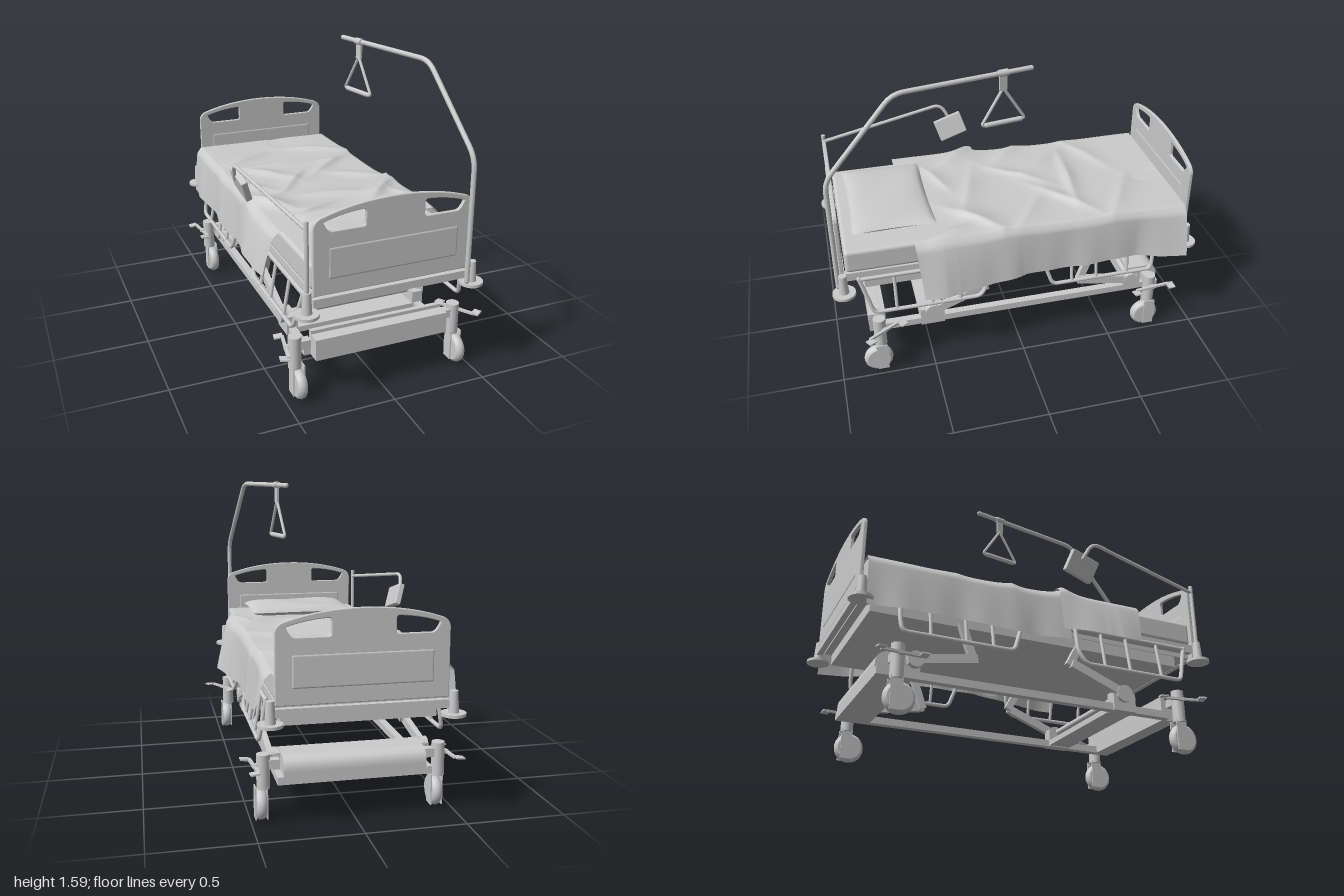
import * as THREE from 'three';
import { RoundedBoxGeometry } from 'three/addons/geometries/RoundedBoxGeometry.js';

const grey = new THREE.MeshStandardMaterial({ color: 0xcccccc });
const thin = new THREE.MeshStandardMaterial({ color: 0xcccccc, side: THREE.DoubleSide });
const V = (p) => new THREE.Vector3(...p);

export function createModel() {
  const model = new THREE.Group();

  const add = (name, geo, pos = [0, 0, 0], rot = [0, 0, 0], mat = grey, parent = model) => {
    const m = new THREE.Mesh(geo, mat);
    m.name = name;
    m.position.set(...pos);
    m.rotation.set(...rot);
    parent.add(m);
  };
  // Box given by its min and max on each axis
  const box = (name, x0, x1, y0, y1, z0, z1) =>
    add(name, new THREE.BoxGeometry(x1 - x0, y1 - y0, z1 - z0), [(x0 + x1) / 2, (y0 + y1) / 2, (z0 + z1) / 2]);
  const cyl = (name, r0, r1, h, pos, rot, n = 24) => add(name, new THREE.CylinderGeometry(r0, r1, h, n), pos, rot);
  // Tube along straight runs with rounded corners
  const tube = (name, points, r, bend = 0.05) => {
    const p = points.map(V), path = new THREE.CurvePath();
    let from = p[0];
    for (let i = 1; i < p.length - 1; i++) {
      const a = p[i].clone().add(p[i - 1].clone().sub(p[i]).setLength(bend));
      const b = p[i].clone().add(p[i + 1].clone().sub(p[i]).setLength(bend));
      path.add(new THREE.LineCurve3(from, a));
      path.add(new THREE.QuadraticBezierCurve3(a, p[i], b));
      from = b;
    }
    path.add(new THREE.LineCurve3(from, p[p.length - 1]));
    add(name, new THREE.TubeGeometry(path, p.length > 2 ? 70 : 1, r, 10), undefined, undefined, thin);
    [p[0], p[p.length - 1]].forEach((e) => add(name + 'End', new THREE.SphereGeometry(r, 10, 6), e.toArray()));
  };
  // Flat bar between two points of a plane at constant x
  const bar = (name, x, a, b, w, t) => {
    const dz = b[0] - a[0], dy = b[1] - a[1];
    add(name, new THREE.BoxGeometry(t, w, Math.hypot(dz, dy)),
      [x, (a[1] + b[1]) / 2, (a[0] + b[0]) / 2], [-Math.atan2(dy, dz), 0, 0]);
  };

  // Head and foot boards with two hand holes each
  const board = new THREE.Shape();
  board.moveTo(-0.405, 0.62);
  board.lineTo(0.405, 0.62);
  board.lineTo(0.405, 0.95);
  board.quadraticCurveTo(0.4, 0.985, 0.36, 0.995);
  board.bezierCurveTo(0.15, 1.065, -0.15, 1.065, -0.36, 0.995);
  board.quadraticCurveTo(-0.4, 0.985, -0.405, 0.95);
  for (const s of [-1, 1]) {
    const hole = new THREE.Path();
    hole.moveTo(s * 0.165, 0.922);
    hole.lineTo(s * 0.32, 0.922);
    hole.quadraticCurveTo(s * 0.345, 0.925, s * 0.365, 0.975);
    hole.quadraticCurveTo(s * 0.27, 1.008, s * 0.16, 1.013);
    hole.quadraticCurveTo(s * 0.147, 1.01, s * 0.147, 0.99);
    hole.lineTo(s * 0.147, 0.94);
    hole.quadraticCurveTo(s * 0.147, 0.922, s * 0.165, 0.922);
    board.holes.push(hole);
  }
  const boardGeo = new THREE.ExtrudeGeometry(board,
    { depth: 0.012, bevelEnabled: true, bevelSize: 0.004, bevelThickness: 0.004, bevelSegments: 2, curveSegments: 16 });
  for (const [name, z] of [['headboard', 0.94], ['footboard', -0.94]]) {
    add(name, boardGeo, [0, 0, z - 0.006]);
    add(name + 'Panel', new RoundedBoxGeometry(0.67, 0.16, 0.026, 3, 0.012), [0, 0.77, z]);
    box(name + 'Rail', -0.41, 0.41, 0.565, 0.605, z - 0.015, z + 0.015);
    // Corner bumpers and sockets
    for (const x of [-0.437, 0.43]) {
      cyl('cornerBumper', 0.06, 0.06, 0.015, [x, 0.53, z], undefined, 32);
      cyl('cornerSocket', 0.02, 0.026, 0.105, [x, 0.59, z]);
    }
  }
  cyl('armPost', 0.011, 0.011, 0.4, [-0.437, 0.79, 0.94]);

  // Lifting pole and hanging grip
  tube('liftingPole', [[0.39, 0.55, 0.965], [0.39, 1.18, 0.965], [0.33, 1.572, 0.61], [0.2, 1.572, -0.1]], 0.013, 0.06);
  const gripTop = [0.225, 1.49, 0.05], gripA = [0.243, 1.3, 0.168], gripB = [0.202, 1.3, -0.07];
  add('gripStrap', new THREE.BoxGeometry(0.012, 0.1, 0.042), [0.226, 1.53, 0.05], [0, 0.18, 0]);
  cyl('gripCollar', 0.018, 0.018, 0.05, [0.226, 1.572, 0.05], [Math.PI / 2, 0, -0.18], 16);
  tube('gripLoop', [gripTop, gripA, gripB, gripTop], 0.008, 0.015);
  tube('gripHandle', [[0.238, 1.3, 0.14], [0.207, 1.3, -0.045]], 0.013);

  // Swing arm with a tilted screen
  tube('screenArm', [[-0.437, 0.95, 0.94], [-0.55, 1.045, 0.24], [-0.53, 0.95, 0.19]], 0.01, 0.05);
  const screen = new THREE.Group();
  screen.name = 'screen';
  add('screenHousing', new RoundedBoxGeometry(0.035, 0.125, 0.165, 2, 0.006), undefined, [0.3, 0, 0], grey, screen);
  screen.position.set(-0.5, 0.92, 0.195);
  screen.rotation.z = 0.33;
  model.add(screen);

  // Mattress, deck and frame
  add('mattress', new RoundedBoxGeometry(0.82, 0.13, 1.84, 3, 0.02), [0, 0.7, 0]);
  box('deck', -0.38, 0.38, 0.565, 0.635, -0.92, 0.92);
  box('underDeck', -0.375, 0.375, 0.505, 0.565, -0.88, 0.83);
  for (const s of [-1, 1]) box('deckSideRail', s * 0.395 - 0.015, s * 0.395 + 0.015, 0.59, 0.635, -0.93, 0.93);

  // Pillow: two cushioned halves with pinched corners
  const cushion = (sign) => {
    const g = new THREE.PlaneGeometry(2, 2, 28, 28), p = g.attributes.position;
    for (let i = 0; i < p.count; i++) {
      const u = p.getX(i), v = p.getY(i);
      const h = Math.pow((1 - u ** 4) * (1 - v ** 4), 0.45);
      p.setXYZ(i, 0.315 * u * (1 - 0.04 * (1 - v * v)), sign * 0.034 * h + 0.004 * Math.sin(4 * u + 3 * v) * h,
        -sign * 0.22 * v * (1 - 0.05 * (1 - u * u)));
    }
    g.computeVertexNormals();
    return g;
  };
  for (const s of [1, -1]) add(s > 0 ? 'pillowTop' : 'pillowBottom', cushion(s), [0, 0.803, 0.645], undefined, thin);

  // Cloth creases: centre x, centre z, direction, length, width, height
  const creases = [
    [0, -0.38, 0.1, 0.22, 0.035, 0.03], [0.2, -0.3, -0.7, 0.2, 0.04, 0.022], [-0.2, -0.28, 0.9, 0.18, 0.04, 0.024],
    [-0.25, -0.55, -0.5, 0.2, 0.05, 0.018], [0.25, -0.6, 0.5, 0.22, 0.04, 0.02], [0.06, -0.82, 1.45, 0.1, 0.05, -0.014],
    [-0.1, -0.1, -0.9, 0.2, 0.035, 0.018], [0.28, -0.08, 0.6, 0.18, 0.04, 0.02], [-0.35, -0.1, 0.8, 0.15, 0.04, 0.022],
    [-0.36, 0.2, 0.9, 0.16, 0.06, 0.045], [0.3, 0.22, -0.8, 0.18, 0.05, 0.03], [0.02, 0.2, 0.3, 0.2, 0.05, 0.02],
    [0.38, 0.36, 1.2, 0.12, 0.04, 0.02], [-0.15, 0.36, -0.4, 0.15, 0.04, 0.02],
  ];
  const wrinkle = (x, z) => creases.reduce((sum, [cx, cz, a, len, wid, h]) => {
    const dx = x - cx, dz = z - cz;
    const along = dx * Math.cos(a) + dz * Math.sin(a), off = dz * Math.cos(a) - dx * Math.sin(a);
    const sharp = off > 0 ? wid * 0.6 : wid * 1.4;
    return sum + h * Math.exp(-((along / len) ** 2) - Math.abs(off / sharp) ** 1.4);
  }, 0.003 * Math.sin(9 * x + 2 * z) * Math.sin(7 * z - 3 * x));

  // Draped cloth: flat and wrinkled on top, hanging over both sides
  const drape = (name, zAt, top, half, sideOf) => {
    const g = new THREE.PlaneGeometry(2, 1, 100, 90), p = g.attributes.position;
    for (let i = 0; i < p.count; i++) {
      const u = p.getX(i), v = 0.5 - p.getY(i), s = Math.sign(u) || 1;
      const t = Math.max(0, (Math.abs(u) - 0.64) / 0.36);
      const flatX = s * half * Math.min(1, Math.abs(u) / 0.64);
      const z = zAt(flatX, v, t, s);
      const { bottom, flare } = sideOf(s, z);
      const fold = 0.007 * t * Math.sin(14 * z + s) + 0.003 * t * Math.sin(31 * z);
      p.setXYZ(i, flatX + s * (0.02 * Math.min(1, t * 6) + flare * Math.pow(t, 0.8) + fold),
        top + wrinkle(flatX, z) * (1 - t) - (top - bottom) * Math.pow(t, 1.15), z);
    }
    g.computeVertexNormals();
    add(name, g, undefined, undefined, thin);
  };
  drape('blanket', (x, v) => -0.92 + v * 1.06, 0.77, 0.415, (s, z) => ({
    bottom: 0.5 + 0.005 * Math.sin(9 * z),
    flare: s > 0 ? 0.028 + 0.05 * Math.max(0, (-z - 0.65) / 0.27) : 0.036,
  }));
  drape('foldedBlanket', (x, v, t, s) => {
    const edge = 0.055 - 0.08 * x - (s > 0 ? 0.03 * t : 0);
    return edge + v * (0.565 - 0.03 * t - edge);
  }, 0.784, 0.425, (s, z) => {
    const swell = Math.min(1, Math.max(0, z / 0.35)) - Math.max(0, z - 0.42) * 3;
    return { bottom: s > 0 ? 0.505 - 0.06 * z : 0.55, flare: 0.03 + 0.055 * swell };
  });

  // Lowered side guards
  for (const s of [-1, 1]) {
    const x = s * 0.42, xl = s * 0.455;
    const guard = (a, b, ins, posts) => {
      tube('sideGuard', [[x, 0.6, a], [xl, 0.395, a - ins[0]], [xl, 0.395, b + ins[1]], [s * 0.445, 0.46, b], [x, 0.6, b]], 0.011, 0.03);
      tube('sideGuardTop', [[x, 0.595, a], [x, 0.595, b]], 0.011);
      posts.forEach((z) => tube('sideGuardPost', [[x, 0.595, z], [xl, 0.395, z]], 0.009));
    };
    guard(0.86, 0.19, [0.06, 0.04], [0.68, 0.49, 0.34]);
    guard(-0.1, -0.75, [0.07, 0.01], [-0.28, -0.42, -0.6]);
  }

  // Base rails, lift arms and brackets
  for (const s of [-1, 1]) {
    const x = s * 0.36, xa = s * 0.39;
    box('baseRail', x - 0.02, x + 0.02, 0.2, 0.238, -0.83, 0.76);
    box('liftBracket', x - 0.03, x + 0.03, 0.2, 0.3, 0.42, 0.55);
    box('liftBracket', x - 0.02, x + 0.02, 0.235, 0.32, -0.72, -0.62);
    cyl('liftPivot', 0.045, 0.045, 0.04, [xa, 0.29, 0.48], [0, 0, Math.PI / 2]);
    cyl('liftPivot', 0.04, 0.04, 0.04, [xa, 0.29, -0.65], [0, 0, Math.PI / 2]);
    bar('headLiftArm', xa, [0.5, 0.285], [0.18, 0.41], 0.045, 0.03);
    bar('headLiftLink', s * 0.375, [0.17, 0.4], [0.24, 0.53], 0.04, 0.03);
    bar('footLiftArm', xa, [-0.34, 0.345], [-0.69, 0.285], 0.045, 0.03);
    bar('footLiftLink', s * 0.375, [-0.35, 0.33], [-0.42, 0.53], 0.04, 0.03);
    for (const z of [0.78, -0.75]) box('casterStub', Math.min(x, s * 0.43), Math.max(x, s * 0.43), 0.262, 0.306, z - 0.022, z + 0.022);
  }
  cyl('headLiftShaft', 0.018, 0.018, 0.78, [0, 0.29, 0.48], [0, 0, Math.PI / 2]);
  cyl('footLiftShaft', 0.018, 0.018, 0.78, [0, 0.29, -0.65], [0, 0, Math.PI / 2]);
  box('baseCrossPlate', -0.36, 0.36, 0.205, 0.235, 0.42, 0.55);

  // End covers of the base
  box('headCover', -0.345, 0.375, 0.2, 0.312, 0.74, 0.83);
  box('headCoverLip', -0.345, 0.375, 0.312, 0.33, 0.74, 0.765);
  const cover = new THREE.Shape();
  cover.moveTo(0.65, 0.2);
  cover.lineTo(0.83, 0.2);
  cover.lineTo(0.83, 0.26);
  cover.quadraticCurveTo(0.83, 0.33, 0.75, 0.33);
  cover.lineTo(0.65, 0.33);
  add('footCover', new THREE.ExtrudeGeometry(cover, { depth: 0.7, bevelEnabled: false, curveSegments: 16 }),
    [-0.35, 0, 0], [0, Math.PI / 2, 0]);

  // Casters with forks and brake pedals, each pedal turned a little differently
  const tyre = [[0, -0.025], [0.06, -0.025], [0.063, -0.0248], [0.074, -0.016], [0.078, 0],
    [0.074, 0.016], [0.063, 0.0248], [0.06, 0.025], [0, 0.025]].map((p) => new THREE.Vector2(...p));
  for (const [s, z, turn] of [[1, 0.78, 0.55], [-1, 0.78, -0.2], [1, -0.75, 0.1], [-1, -0.75, 0.1]]) {
    const x = s * 0.437, wx = x + 0.012;
    cyl('casterLeg', 0.033, 0.033, 0.17, [x, 0.248, z]);
    for (const e of [-1, 1]) box('casterFork', wx + e * 0.028 - 0.003, wx + e * 0.028 + 0.003, 0.015, 0.175, z - 0.03, z + 0.03);
    add('casterWheel', new THREE.LatheGeometry(tyre, 32), [wx, 0.079, z + 0.02], [0, 0, Math.PI / 2]);
    const pedal = new THREE.Group();
    pedal.name = 'brakePedal';
    pedal.position.set(x, 0.278, z);
    pedal.rotation.y = turn;
    add('pedalShaft', new THREE.BoxGeometry(0.055, 0.016, 0.024), [s * 0.027, 0, 0], undefined, grey, pedal);
    add('pedalBar', new THREE.BoxGeometry(0.016, 0.012, 0.2), [s * 0.045, 0, 0], undefined, grey, pedal);
    for (const e of [-1, 1]) add('pedalPad', new THREE.BoxGeometry(0.045, 0.008, 0.04), [s * 0.065, 0, e * 0.105], [0, 0, s * e * 0.12], grey, pedal);
    model.add(pedal);
  }
  return model;
}
